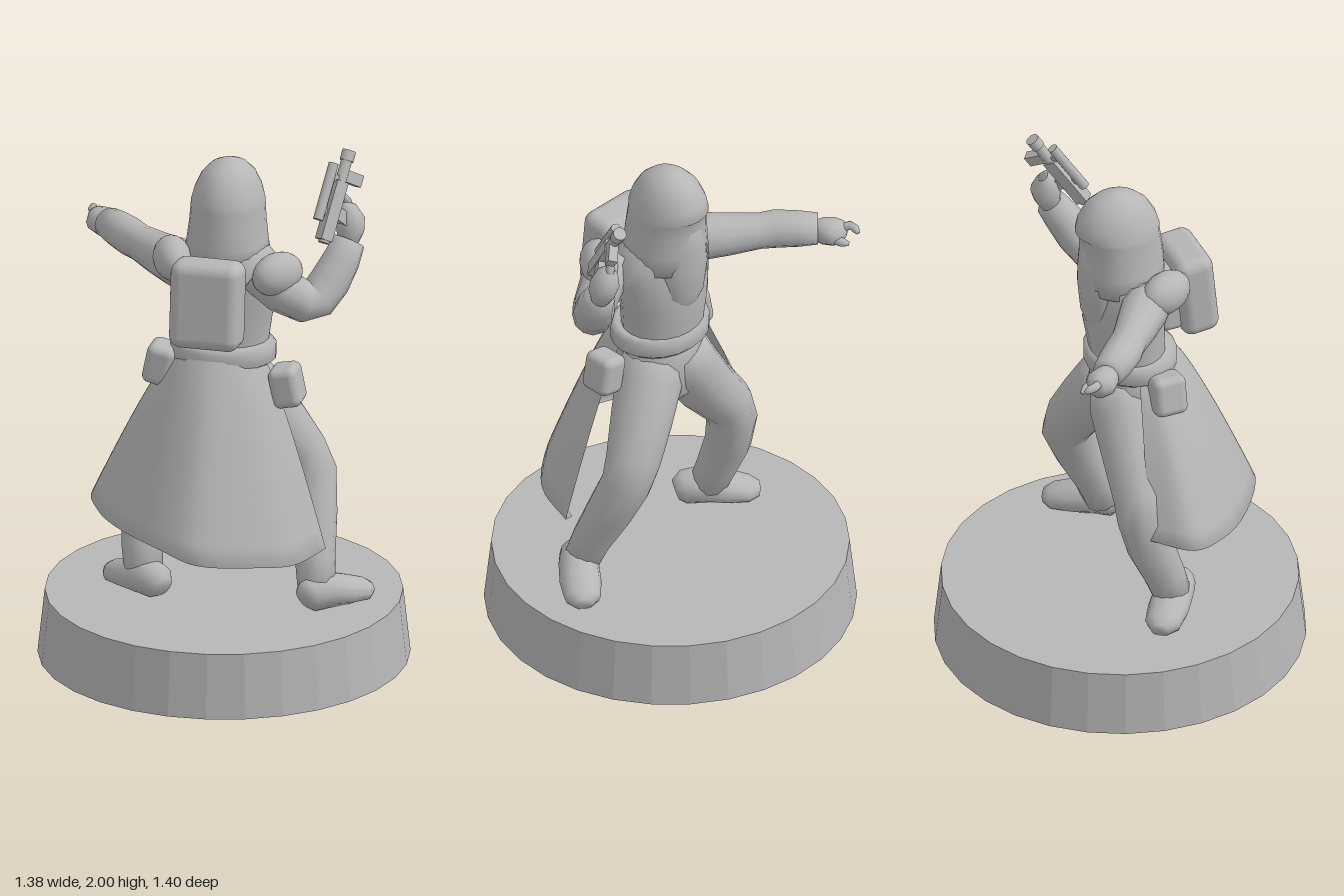
import * as THREE from 'three';
import { RoundedBoxGeometry } from 'three/addons/geometries/RoundedBoxGeometry.js';

const grey = new THREE.MeshStandardMaterial({ color: 0xb6b6b6, side: THREE.DoubleSide });
grey.name = 'plain grey';
const V = (x, y, z) => new THREE.Vector3(x, y, z);
const BASE_TOP = 0.25;

function add(parent, name, geometry, x = 0, y = 0, z = 0) {
  const mesh = new THREE.Mesh(geometry, grey);
  mesh.name = name;
  mesh.position.set(x, y, z);
  parent.add(mesh);
  return mesh;
}

// Smooth closed skin over a list of equal rings, with both ends capped
function skin(rings) {
  const n = rings[0].length, pos = [], idx = [];
  rings.forEach(r => r.forEach(p => pos.push(p.x, p.y, p.z)));
  for (let i = 0; i < rings.length - 1; i++) for (let j = 0; j < n; j++) {
    const k = (j + 1) % n, a = i * n + j, b = i * n + k;
    idx.push(a, b, b + n, a, b + n, a + n);
  }
  [0, rings.length - 1].forEach(i => {
    const c = rings[i].reduce((s, p) => s.add(p), V(0, 0, 0)).divideScalar(n);
    const ci = pos.length / 3;
    pos.push(c.x, c.y, c.z);
    for (let j = 0; j < n; j++) {
      const a = i * n + j, b = i * n + (j + 1) % n;
      i === 0 ? idx.push(ci, b, a) : idx.push(ci, a, b);
    }
  });
  const g = new THREE.BufferGeometry();
  g.setAttribute('position', new THREE.Float32BufferAttribute(pos, 3));
  g.setIndex(idx);
  g.computeVertexNormals();
  return g;
}

// Upright body: sections [y, centre x, centre z, radius x, radius z, front scale], bottom to top
function upright(sections, n = 20) {
  return skin(sections.map(([y, cx, cz, rx, rz, front = 1]) =>
    Array.from({ length: n }, (_, j) => {
      const a = j / n * Math.PI * 2, c = Math.cos(a);
      return V(cx + c * rx * (c > 0.4 ? front : 1), y, cz - Math.sin(a) * rz);
    })));
}

// Limb along a path: points [x, y, z, radius, second radius]
function limb(points, ref, n = 12) {
  const c = points.map(p => V(p[0], p[1], p[2]));
  return skin(points.map(([, , , r, r2 = r], i) => {
    const t = c[Math.min(i + 1, c.length - 1)].clone().sub(c[Math.max(i - 1, 0)]).normalize();
    const u = ref.clone().cross(t).normalize(), v = t.clone().cross(u);
    return Array.from({ length: n }, (_, j) => {
      const a = j / n * Math.PI * 2;
      const p = c[i].clone().addScaledVector(u, Math.cos(a) * r).addScaledVector(v, Math.sin(a) * r2);
      p.y = Math.max(p.y, BASE_TOP);
      return p;
    });
  }));
}

// Open coat skirt between the waist and a slanted hem
function skirtGeometry() {
  const hem = new THREE.CatmullRomCurve3([
    V(0.21, 0.5, 0.39), V(0.02, 0.5, 0.475), V(-0.13, 0.52, 0.475), V(-0.36, 0.55, 0.4), V(-0.43, 0.58, 0.28),
    V(-0.48, 0.6, 0.03), V(-0.47, 0.61, -0.12), V(-0.41, 0.63, -0.27), V(-0.24, 0.65, -0.3)]);
  const nu = 40, nv = 10, pos = [], idx = [], top = V(-0.03, 1.24, 0.04);
  for (let i = 0; i <= nu; i++) {
    const h = hem.getPoint(i / nu);
    const dir = V(h.x - top.x, 0, h.z - top.z).normalize();
    const waist = top.clone().addScaledVector(dir, 0.165);
    for (let j = 0; j <= nv; j++) {
      const s = j / nv, out = Math.pow(s, 0.85);
      pos.push(waist.x + (h.x - waist.x) * out, waist.y + (h.y - waist.y) * s, waist.z + (h.z - waist.z) * out);
    }
    pos.push(h.x - dir.x * 0.03, h.y + 0.005, h.z - dir.z * 0.03); // turned-in hem
  }
  const w = nv + 2;
  for (let i = 0; i < nu; i++) for (let j = 0; j < w - 1; j++) {
    const a = i * w + j, b = a + w;
    idx.push(a, a + 1, b, b, a + 1, b + 1);
  }
  const g = new THREE.BufferGeometry();
  g.setAttribute('position', new THREE.Float32BufferAttribute(pos, 3));
  // outward winding: the hem runs from +z round to -x
  for (let i = 0; i < idx.length; i += 3) [idx[i + 1], idx[i + 2]] = [idx[i + 2], idx[i + 1]];
  g.setIndex(idx);
  g.computeVertexNormals();
  return g;
}

export function createModel() {
  const model = new THREE.Group();
  model.name = 'figure on a round base';
  const X = V(1, 0, 0), Y = V(0, 1, 0), Z = V(0, 0, 1);

  // Faceted display base
  const disc = new THREE.CylinderGeometry(0.667, 0.694, BASE_TOP, 30).toNonIndexed();
  disc.computeVertexNormals();
  add(model, 'base', disc, 0, BASE_TOP / 2, 0);

  // Body turned diagonally: its own front is +x, its own right is +z
  const body = new THREE.Group();
  body.name = 'body';
  body.rotation.y = Math.PI / 4;
  model.add(body);
  add(body, 'pelvis', upright([[0.93, 0, 0.01, 0.05, 0.05], [0.98, 0, 0.01, 0.095, 0.12],
    [1.08, -0.02, 0.01, 0.125, 0.16], [1.24, -0.03, 0.01, 0.135, 0.165]]));
  add(body, 'torso', upright([[1.19, -0.03, 0.01, 0.135, 0.17], [1.28, -0.03, 0.01, 0.14, 0.17],
    [1.4, -0.02, 0.015, 0.15, 0.18], [1.52, -0.03, 0.02, 0.15, 0.2], [1.6, -0.03, 0.02, 0.145, 0.19],
    [1.66, -0.02, 0.015, 0.12, 0.14], [1.7, -0.01, 0.015, 0.08, 0.08]]));
  add(body, 'belt', upright([[1.195, -0.045, 0.01, 0.155, 0.18], [1.21, -0.045, 0.01, 0.17, 0.2],
    [1.26, -0.045, 0.01, 0.17, 0.2], [1.28, -0.045, 0.01, 0.15, 0.18]]));
  add(body, 'hood', upright([[1.58, -0.01, 0.015, 0.165, 0.165, 0.95], [1.66, -0.005, 0.015, 0.168, 0.152, 0.93],
    [1.74, 0, 0.015, 0.165, 0.142, 0.9], [1.8, 0.005, 0.015, 0.16, 0.138, 0.9], [1.815, 0.005, 0.015, 0.162, 0.137],
    [1.86, 0.008, 0.015, 0.152, 0.125], [1.91, 0.01, 0.015, 0.125, 0.102], [1.945, 0.01, 0.015, 0.085, 0.07],
    [1.963, 0.01, 0.015, 0.04, 0.035], [1.967, 0.01, 0.015, 0.005, 0.005]], 24));
  // Veil hanging from the brow onto the chest
  add(body, 'faceVeil', upright([[1.36, 0.05, 0.015, 0.06, 0.05], [1.46, 0.06, 0.015, 0.085, 0.1],
    [1.58, 0.07, 0.015, 0.085, 0.115], [1.68, 0.07, 0.015, 0.085, 0.1], [1.8, 0.06, 0.015, 0.085, 0.085]]));

  // Backpack and belt pouches
  const pack = add(body, 'backpack', new RoundedBoxGeometry(0.15, 0.335, 0.27, 4, 0.045), -0.272, 1.495, 0.007);
  pack.rotation.z = -0.1;
  add(body, 'packPad', new RoundedBoxGeometry(0.1, 0.26, 0.2, 3, 0.03), -0.18, 1.48, 0.01);
  add(body, 'rightPouch', new RoundedBoxGeometry(0.13, 0.155, 0.11, 4, 0.03), -0.085, 1.125, 0.265).rotation.x = -0.2;
  add(body, 'leftPouch', new RoundedBoxGeometry(0.13, 0.155, 0.11, 4, 0.03), -0.1, 1.175, -0.215).rotation.x = 0.2;

  // Shoulder pads
  [['rightShoulderPad', 0.075, 1.585, 0.265], ['leftShoulderPad', -0.2, 1.6, -0.04]].forEach(([name, x, y, z]) => {
    const pad = add(model, name, new THREE.SphereGeometry(1, 18, 12), x, y, z);
    pad.scale.set(0.11, 0.082, 0.072);
    pad.rotation.y = name === 'rightShoulderPad' ? 0.2 : 1.2;
  });

  add(model, 'coatSkirt', skirtGeometry());

  // Legs and boots
  add(model, 'rightLeg', limb([[0.02, 1.14, 0.06, 0.11], [0.08, 1.05, 0.08, 0.125], [0.17, 0.92, 0.11, 0.115],
    [0.25, 0.8, 0.14, 0.102], [0.28, 0.72, 0.165, 0.095], [0.255, 0.58, 0.225, 0.088], [0.22, 0.42, 0.295, 0.075],
    [0.205, 0.32, 0.33, 0.07]], Z));
  add(model, 'leftLeg', limb([[-0.01, 1.14, -0.03, 0.11], [-0.03, 1.05, -0.06, 0.12], [-0.1, 0.9, -0.13, 0.113],
    [-0.165, 0.77, -0.21, 0.1], [-0.185, 0.69, -0.23, 0.095], [-0.21, 0.56, -0.215, 0.088], [-0.25, 0.42, -0.175, 0.078],
    [-0.265, 0.32, -0.14, 0.072]], X));
  add(model, 'rightBoot', limb([[0.135, 0.3, 0.35, 0.04, 0.04], [0.16, 0.31, 0.348, 0.065, 0.065], [0.23, 0.315, 0.342, 0.075, 0.07],
    [0.32, 0.295, 0.335, 0.078, 0.06], [0.4, 0.28, 0.327, 0.068, 0.045], [0.435, 0.275, 0.323, 0.035, 0.028]], Y));
  add(model, 'leftBoot', limb([[-0.25, 0.3, -0.02, 0.04, 0.04], [-0.255, 0.31, -0.05, 0.065, 0.065], [-0.267, 0.315, -0.12, 0.075, 0.07],
    [-0.28, 0.295, -0.21, 0.078, 0.06], [-0.29, 0.28, -0.29, 0.068, 0.045], [-0.295, 0.275, -0.33, 0.035, 0.028]], Y));

  // Left arm, pointing straight out
  add(model, 'leftArm', limb([[-0.13, 1.55, 0, 0.09], [-0.14, 1.55, -0.1, 0.092], [-0.155, 1.55, -0.22, 0.08],
    [-0.168, 1.555, -0.33, 0.068], [-0.175, 1.56, -0.39, 0.072], [-0.175, 1.56, -0.48, 0.068], [-0.175, 1.56, -0.55, 0.06]], Y));
  add(model, 'leftHand', limb([[-0.175, 1.555, -0.53, 0.035], [-0.175, 1.55, -0.57, 0.052], [-0.17, 1.55, -0.61, 0.062, 0.05],
    [-0.165, 1.55, -0.64, 0.045], [-0.16, 1.55, -0.655, 0.015]], Y));
  add(model, 'leftFinger', limb([[-0.17, 1.56, -0.62, 0.018], [-0.175, 1.575, -0.67, 0.017], [-0.158, 1.57, -0.69, 0.016],
    [-0.145, 1.56, -0.7, 0.008]], Y, 8));
  add(model, 'leftThumb', limb([[-0.14, 1.54, -0.6, 0.02], [-0.122, 1.535, -0.64, 0.017], [-0.118, 1.53, -0.665, 0.008]], Y, 8));

  // Right arm, bent up to hold the pistol
  add(model, 'rightArm', limb([[0.03, 1.58, 0.19, 0.08], [0.1, 1.51, 0.255, 0.085], [0.18, 1.46, 0.285, 0.08], [0.235, 1.465, 0.288, 0.078],
    [0.29, 1.52, 0.285, 0.077], [0.345, 1.595, 0.278, 0.07], [0.385, 1.655, 0.265, 0.06]], Z));
  add(model, 'rightHand', limb([[0.38, 1.64, 0.262, 0.035], [0.395, 1.69, 0.255, 0.052], [0.4, 1.73, 0.245, 0.056],
    [0.39, 1.775, 0.235, 0.04], [0.385, 1.795, 0.23, 0.012]], Z));
  add(model, 'rightFinger', limb([[0.41, 1.76, 0.23, 0.018], [0.4, 1.8, 0.225, 0.016], [0.385, 1.825, 0.22, 0.008]], Z, 8));

  // Pistol, built along its own y axis
  const pistol = new THREE.Group();
  pistol.name = 'pistol';
  pistol.position.set(0.335, 1.83, 0.24);
  pistol.quaternion.setFromUnitVectors(Y, V(0.17, 0.3, -0.1).normalize());
  model.add(pistol);
  add(pistol, 'receiver', new THREE.BoxGeometry(0.05, 0.23, 0.045), 0.005, -0.05, 0);
  add(pistol, 'barrel', new THREE.CylinderGeometry(0.021, 0.021, 0.36, 12), 0.008, 0.005, 0);
  add(pistol, 'muzzle', new THREE.CylinderGeometry(0.026, 0.026, 0.04, 12), 0.008, 0.165, 0);
  add(pistol, 'scope', new THREE.CylinderGeometry(0.019, 0.019, 0.22, 12), -0.043, 0.01, 0);
  [-0.06, 0.07].forEach(y => add(pistol, 'scopeMount', new THREE.BoxGeometry(0.05, 0.025, 0.02), -0.025, y, 0));
  add(pistol, 'magazine', new THREE.BoxGeometry(0.07, 0.045, 0.035), 0.055, 0.09, 0);
  add(pistol, 'grip', new THREE.BoxGeometry(0.11, 0.045, 0.035), 0.06, -0.06, 0).rotation.z = -0.25;
  return model;
}
